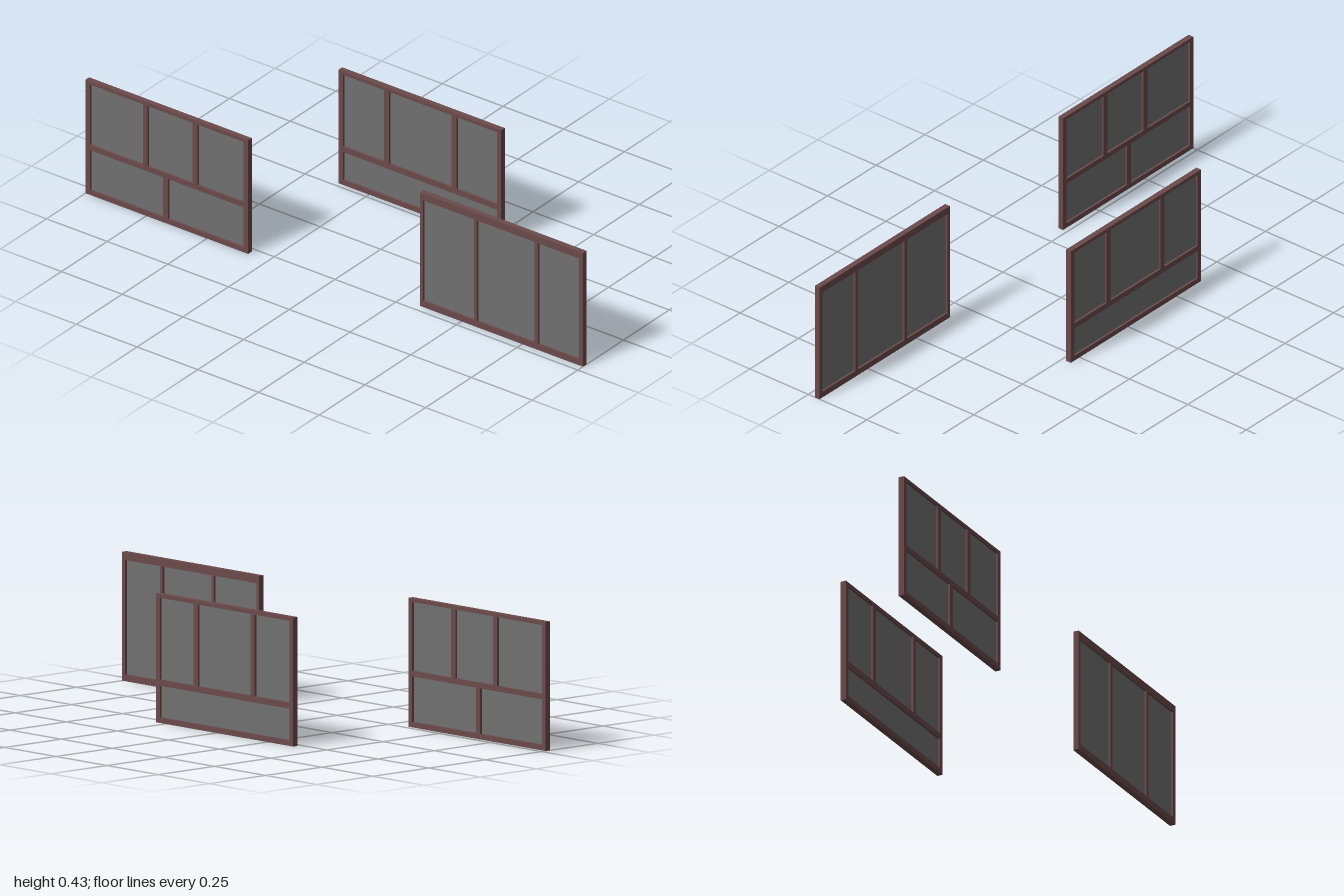
import * as THREE from 'three';

const W = 0.67, H = 0.43, T = 0.02;
const wood = new THREE.MeshStandardMaterial({ color: 0x6b4a4a });
const glass = new THREE.MeshStandardMaterial({ color: 0x707070 });

// Panes of one row: the strip x0..x1, y0..y1 split by vertical bars centred at `bars`
function row(x0, x1, y0, y1, bars, barWidth) {
  const edges = [x0, ...bars.flatMap(b => [b - barWidth / 2, b + barWidth / 2]), x1];
  const panes = [];
  for (let i = 0; i < edges.length; i += 2) panes.push([edges[i], edges[i + 1], y0, y1]);
  return panes;
}

function rectangle(path, [x0, x1, y0, y1]) {
  path.moveTo(x0, y0);
  path.lineTo(x1, y0);
  path.lineTo(x1, y1);
  path.lineTo(x0, y1);
  path.closePath();
  return path;
}

// One window: a frame cut out around its panes, with a thin sheet of glass in each
function windowPanel(name, x, z, panes) {
  const group = new THREE.Group();
  group.name = name;
  group.position.set(x, 0, z);

  const shape = rectangle(new THREE.Shape(), [0, W, 0, H]);
  shape.holes = panes.map(p => rectangle(new THREE.Path(), p));
  const frameGeometry = new THREE.ExtrudeGeometry(shape, { depth: T, bevelEnabled: false });
  frameGeometry.translate(0, 0, -T / 2);
  const frame = new THREE.Mesh(frameGeometry, wood);
  frame.name = 'frame';
  group.add(frame);

  for (const [x0, x1, y0, y1] of panes) {
    const pane = new THREE.Mesh(new THREE.BoxGeometry(x1 - x0, y1 - y0, 0.004), glass);
    pane.name = 'pane';
    pane.position.set((x0 + x1) / 2, (y0 + y1) / 2, 0);
    group.add(pane);
  }
  return group;
}

export function createModel() {
  const model = new THREE.Group();
  model.name = 'windows';
  model.add(
    // Three panes over two
    windowPanel('fivePaneWindow', -1, 0.277, [
      ...row(0.018, 0.652, 0.188, 0.418, [0.246, 0.451], 0.02),
      ...row(0.018, 0.652, 0.018, 0.17, [0.33], 0.02),
    ]),
    // Three panes over one wide pane
    windowPanel('fourPaneWindow', -0.375, -0.277, [
      ...row(0.018, 0.652, 0.144, 0.417, [0.198, 0.476], 0.02),
      ...row(0.018, 0.652, 0.018, 0.124, [], 0.02),
    ]),
    // Three tall panes
    windowPanel('threePaneWindow', 0.33, 0.212, row(0.012, 0.655, 0.022, 0.404, [0.227, 0.478], 0.013)),
  );
  return model;
}
